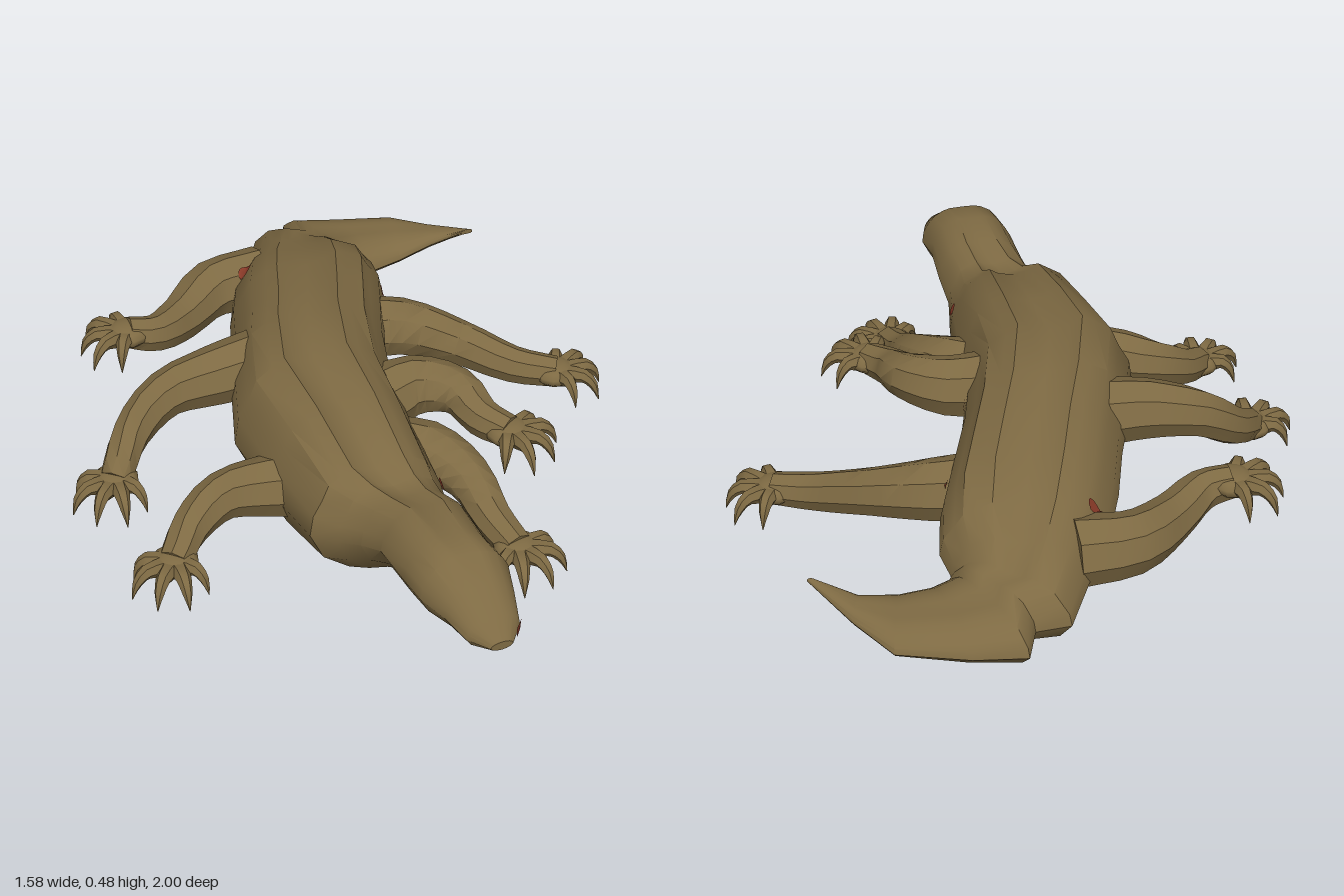
import * as THREE from 'three';
import { toCreasedNormals } from 'three/addons/utils/BufferGeometryUtils.js';

const hide = new THREE.MeshStandardMaterial({ color: 0x7e6a43 });
hide.name = 'olive brown hide';
const wound = new THREE.MeshStandardMaterial({ color: 0x8a3a28 });
wound.name = 'dull red wound';

const V = (x, y, z) => new THREE.Vector3(x, y, z);
const { lerp, smoothstep, degToRad } = THREE.MathUtils;

// Skin a series of equal-length rings and close both ends
function loft(rings, crease) {
  const n = rings[0].length, pos = [], idx = [];
  rings.forEach(r => r.forEach(p => pos.push(p.x, p.y, p.z)));
  for (let i = 0; i < rings.length - 1; i++) {
    for (let j = 0; j < n; j++) {
      const a = i * n + j, b = i * n + (j + 1) % n, c = a + n, d = b + n;
      idx.push(a, c, d, a, d, b);
    }
  }
  [0, rings.length - 1].forEach((ri, end) => {
    const c = V(0, 0, 0);
    rings[ri].forEach(p => c.addScaledVector(p, 1 / n));
    const ci = pos.length / 3;
    pos.push(c.x, c.y, c.z);
    for (let j = 0; j < n; j++) {
      const a = ri * n + j, b = ri * n + (j + 1) % n;
      if (end) idx.push(ci, b, a); else idx.push(ci, a, b);
    }
  });
  const g = new THREE.BufferGeometry();
  g.setAttribute('position', new THREE.Float32BufferAttribute(pos, 3));
  g.setIndex(idx);
  return toCreasedNormals(g, crease);
}

// Tapered tube through points [x, y, z], with one radius per point
function limb(pts, radii, sides, steps) {
  const curve = new THREE.CatmullRomCurve3(pts.map(p => V(...p)));
  const rings = [];
  for (let i = 0; i <= steps; i++) {
    const t = i / steps, f = t * (pts.length - 1), k = Math.min(Math.floor(f), pts.length - 2);
    const r = lerp(radii[k], radii[k + 1], f - k);
    const c = curve.getPoint(t), dir = curve.getTangent(t);
    const right = dir.clone().cross(V(0, 1, 0)).normalize();
    const up = right.clone().cross(dir);
    rings.push(Array.from({ length: sides }, (_, j) => {
      const a = j / sides * Math.PI * 2;
      return c.clone().addScaledVector(right, r * Math.cos(a)).addScaledVector(up, r * Math.sin(a));
    }));
  }
  return loft(rings, 0.75);
}

// Half cross-sections, belly to spine: plain, and with two crests along the back
const plain = [[0, -1], [.45, -.88], [.82, -.55], [1, -.1], [.96, .25], [.84, .52], [.68, .74], [.46, .9], [.3, .95], [.16, .98], [0, 1]];
const ridged = [[0, -1], [.42, -.9], [.8, -.58], [1, -.1], [.95, .25], [.82, .5], [.72, .76], [.52, .9], [.38, 1], [.24, .9], [0, .84]];

// Cross-section between two edge points; k blends in the crests
function bodyRing(lx, lz, rx, rz, bottom, top, k) {
  const at = (i, side) => {
    const s = (side * lerp(plain[i][0], ridged[i][0], k) + 1) / 2;
    const h = (lerp(plain[i][1], ridged[i][1], k) + 1) / 2;
    return V(lerp(lx, rx, s), lerp(bottom, top, h), lerp(lz, rz, s));
  };
  const ring = plain.map((_, i) => at(i, 1));
  for (let i = plain.length - 2; i > 0; i--) ring.push(at(i, -1));
  return ring;
}

// Head and trunk, snout to loins: z, right edge x, left edge x, bottom, top
const trunk = [
  [.995, -.08, -.02, .22, .245],
  [.95, -.125, .02, .2, .29],
  [.88, -.15, .04, .2, .335],
  [.81, -.185, .057, .19, .385],
  [.73, -.195, .045, .19, .392],
  [.6, -.2, .05, .18, .39],
  [.52, -.22, .04, .13, .37],
  [.46, -.26, .05, .085, .372],
  [.41, -.315, .06, .06, .405],
  [.2, -.34, .085, .005, .455],
  [0, -.365, .105, .04, .482],
  [-.2, -.3, .16, .11, .477],
  [-.35, -.24, .22, .12, .447],
  [-.5, -.19, .28, .105, .425],
];

// Tail sweeping round to the left: outer edge x, z; inner edge x, z; bottom; top
const tail = [
  [-.12, -.66, .305, -.61, .1, .38],
  [-.04, -.78, .29, -.675, .1, .335],
  [.04, -.92, .29, -.685, .11, .3],
  [.13, -.915, .295, -.685, .115, .28],
  [.165, -1, .3, -.685, .115, .265],
  [.3, -.975, .35, -.7, .13, .245],
  [.48, -.92, .43, -.71, .15, .235],
  [.56, -.81, .53, -.715, .19, .24],
  [.65, -.675, .63, -.68, .25, .265],
];

// Crests rise behind the snout and fade toward the tail tip
function bodyRings() {
  return [
    ...trunk.map(([z, lx, rx, bottom, top]) => bodyRing(lx, z, rx, z, bottom, top, 1 - smoothstep(z, .35, .98))),
    ...tail.map((s, i) => bodyRing(...s, .9 * (1 - i / (tail.length - 1)))),
  ];
}

// Leg paths from body to foot, and toe heading in degrees (0 = +z, 90 = +x)
const legs = [
  { name: 'rightFrontLeg', heading: -40, path: [[-.2, .2, .2], [-.34, .22, .18], [-.46, .2, .15], [-.56, .15, .18], [-.63, .11, .25]] },
  { name: 'rightMiddleLeg', heading: -42, path: [[-.2, .32, -.22], [-.34, .31, -.22], [-.48, .28, -.23], [-.59, .2, -.2], [-.67, .13, -.11]] },
  { name: 'rightRearLeg', heading: -100, path: [[-.02, .25, -.7], [-.17, .25, -.7], [-.3, .24, -.61], [-.4, .26, -.54], [-.48, .28, -.545]] },
  { name: 'leftFrontLeg', heading: 20, path: [[0, .22, .16], [.1, .23, .22], [.17, .2, .33], [.19, .14, .45], [.21, .115, .55]] },
  { name: 'leftMiddleLeg', heading: 42, path: [[.02, .28, .03], [.15, .3, .02], [.245, .3, .09], [.275, .27, .19], [.32, .26, .26]] },
  { name: 'leftRearLeg', heading: 80, path: [[.12, .24, -.37], [.27, .23, -.34], [.41, .19, -.26], [.54, .14, -.16], [.645, .125, -.1]] },
];
const legRadii = [.095, .083, .065, .053, .045];
const toeRadii = [.026, .02, .013, .001];

function makeLeg({ name, heading, path }) {
  const g = new THREE.Group();
  g.name = name;
  const add = (part, geometry) => {
    const mesh = new THREE.Mesh(geometry, hide);
    mesh.name = part;
    g.add(mesh);
    return mesh;
  };
  add('shank', limb(path, legRadii, 8, 12));
  const [x, y, z] = path[path.length - 1];
  const palm = add('palm', new THREE.SphereGeometry(.064, 12, 7));
  palm.scale.y = .5;
  palm.position.set(x, y, z);
  // Splayed toes that hook down into claws
  [-72, -36, 0, 36, 72].forEach(spread => {
    const a = degToRad(heading + spread), len = Math.abs(spread) > 50 ? .11 : .135;
    const p = (d, dy) => [x + Math.sin(a) * d * len, y + dy, z + Math.cos(a) * d * len];
    add('clawedToe', limb([p(.3, 0), p(.65, .008), p(.87, -.015), p(1, -.06)], toeRadii, 6, 6));
  });
  return g;
}

// Wound patch wrapped onto the skin by casting rays from one side
function makeWound(target, from, dir, rx, ry) {
  const turn = new THREE.Quaternion().setFromUnitVectors(V(0, 0, 1), dir.clone().negate());
  const ray = new THREE.Raycaster();
  const g = new THREE.CircleGeometry(1, 12), p = g.attributes.position;
  for (let i = 0; i < p.count; i++) {
    ray.set(V(p.getX(i) * rx, p.getY(i) * ry, 0).applyQuaternion(turn).add(from), dir);
    const { point } = ray.intersectObject(target)[0];
    point.addScaledVector(dir, -.006);
    p.setXYZ(i, point.x, point.y, point.z);
  }
  g.computeVertexNormals();
  const mesh = new THREE.Mesh(g, wound);
  mesh.name = 'wound';
  return mesh;
}

export function createModel() {
  const model = new THREE.Group();
  model.name = 'sixLeggedReptile';

  const body = new THREE.Mesh(loft(bodyRings(), 0.6), hide);
  body.name = 'bodyHeadAndTail';
  model.add(body);
  legs.forEach(leg => model.add(makeLeg(leg)));
  model.updateMatrixWorld(true);

  // Wounds on the chest, snout, left flank and right hip
  const ahead = V(0, 0, -1), side = V(-1, 0, 0), down = V(0, -1, 0);
  const wounds = [
    [V(-.125, .06, 2), ahead, .055, .033],
    [V(2, .235, .957), side, .026, .02],
    [V(2, .28, .42), side, .022, .015],
    [V(2, .31, -.1), side, .016, .018],
    [V(2, .3, -.43), side, .02, .016],
    [V(-.09, 2, -.64), down, .018, .02],
  ].map(w => makeWound(model, ...w));
  model.add(...wounds);
  return model;
}
